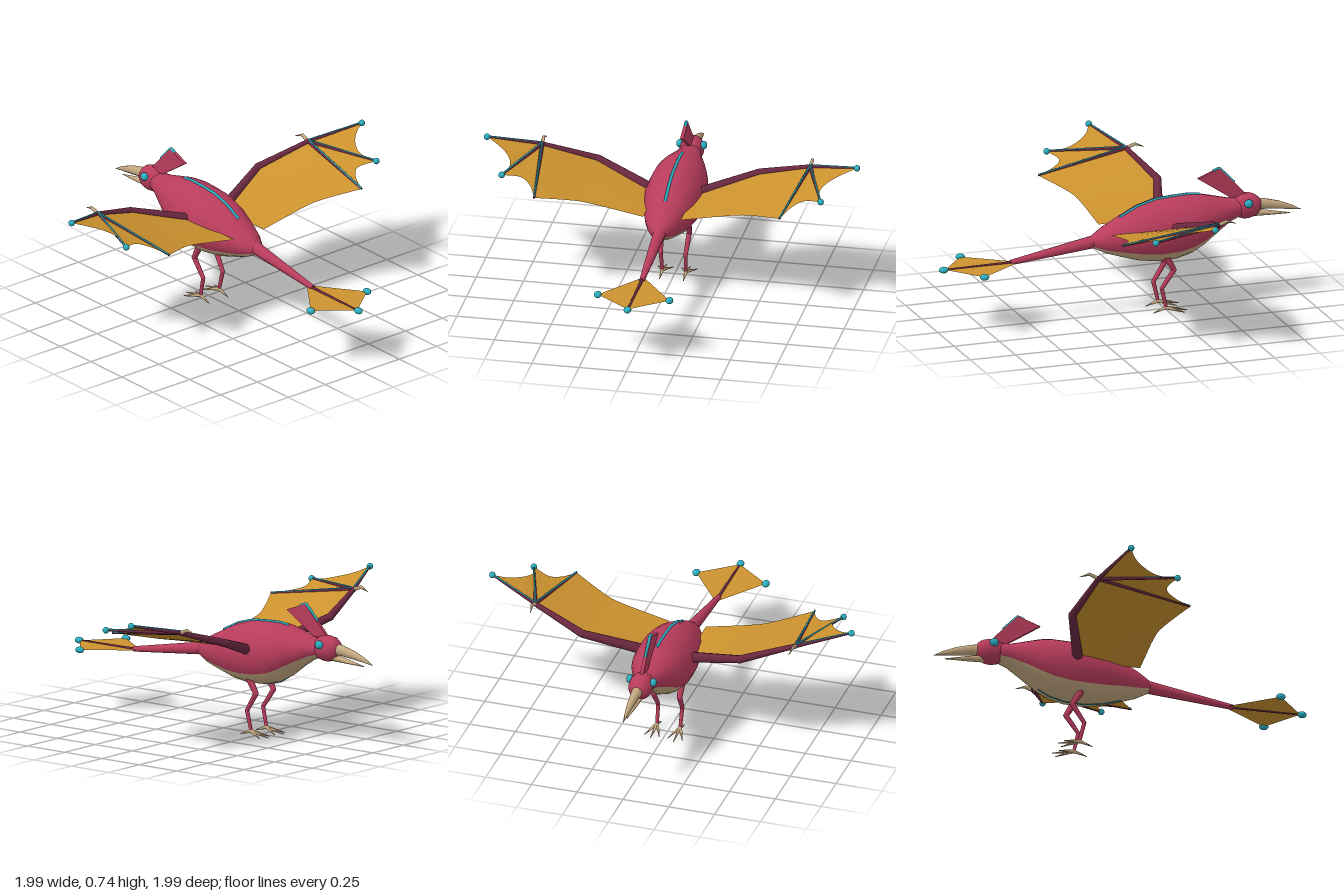
import * as THREE from 'three';

const mat = (name, color, side = THREE.FrontSide) => {
  const m = new THREE.MeshStandardMaterial({ color, side });
  m.name = name;
  return m;
};
const V = (p) => new THREE.Vector3(...p);

export function createModel() {
  const crimson = mat('crimson', 0xb83c5c);
  const maroon = mat('maroon', 0x6a2840);
  const tan = mat('tan', 0xc4a880);
  const teal = mat('teal', 0x2cb0c2);
  const amber = mat('amber', 0xcc922e, THREE.DoubleSide);

  const root = new THREE.Group();
  root.name = 'wingedCreature';

  const add = (name, geo, material, parent = root) => {
    const m = new THREE.Mesh(geo, material);
    m.name = name;
    parent.add(m);
    return m;
  };
  // Tapered round bar between two points
  const rod = (name, a, b, r0, r1, material, parent = root, sides = 10) => {
    const A = V(a), B = V(b), d = B.clone().sub(A);
    const m = add(name, new THREE.CylinderGeometry(r1, r0, d.length(), sides), material, parent);
    m.position.copy(A).add(B).multiplyScalar(0.5);
    m.quaternion.setFromUnitVectors(new THREE.Vector3(0, 1, 0), d.normalize());
    return m;
  };
  const ball = (name, p, r, material, parent = root, scale = [1, 1, 1]) => {
    const m = add(name, new THREE.SphereGeometry(r, 14, 10), material, parent);
    m.position.set(...p);
    m.scale.set(...scale);
    return m;
  };
  // Thin tube through points
  const stripe = (name, pts, r, parent = root) =>
    add(name, new THREE.TubeGeometry(
      new THREE.CatmullRomCurve3(pts.map(V), false, 'catmullrom', 0), 40, r, 6), teal, parent);

  // Elliptical skin over rings [z, y, rx, ry] from rear to front; the lower faces get group 1
  const loft = (rings, seg = 20) => {
    const pos = [], upper = [], lower = [];
    for (const [z, y, rx, ry] of rings)
      for (let k = 0; k < seg; k++) {
        const a = (k / seg) * Math.PI * 2;
        pos.push(Math.cos(a) * rx, y + Math.sin(a) * ry, z);
      }
    for (let i = 0; i < rings.length - 1; i++)
      for (let k = 0; k < seg; k++) {
        const a = i * seg + k, b = i * seg + (k + 1) % seg, c = a + seg, d = b + seg;
        const isLow = k >= seg * 0.6 && k < seg * 0.9;
        (isLow ? lower : upper).push(a, c, b, b, c, d);
      }
    const g = new THREE.BufferGeometry();
    g.setAttribute('position', new THREE.Float32BufferAttribute(pos, 3));
    g.setIndex([...upper, ...lower]);
    g.addGroup(0, upper.length, 0);
    g.addGroup(upper.length, lower.length, 1);
    g.computeVertexNormals();
    return g;
  };

  // Body with pale belly
  const bodyRings = [
    [0.16, 0.407, 0.005, 0.005], [0.15, 0.408, 0.036, 0.033], [0.08, 0.412, 0.078, 0.072],
    [0, 0.42, 0.108, 0.105], [-0.1, 0.43, 0.137, 0.145], [-0.2, 0.437, 0.153, 0.166],
    [-0.3, 0.443, 0.156, 0.167], [-0.38, 0.455, 0.148, 0.158], [-0.44, 0.468, 0.137, 0.138],
    [-0.52, 0.488, 0.108, 0.098], [-0.6, 0.505, 0.074, 0.062], [-0.66, 0.515, 0.055, 0.05],
  ];
  add('body', loft(bodyRings), [crimson, tan]);
  const ridge = bodyRings.slice(2, 9);
  stripe('backStripe', ridge.slice(1).map(([z, y, , ry]) => [0, y + ry, z]), 0.008);
  stripe('keelStripe', ridge.slice(1).map(([z, y, , ry]) => [0, y - ry + 0.002, z]), 0.005);

  // Head, eyes and beak
  ball('head', [0, 0.518, -0.695], 0.07, crimson, root, [0.93, 0.98, 1.25]);
  for (const s of [1, -1]) ball('eye', [s * 0.064, 0.545, -0.69], 0.022, teal, root, [0.8, 1, 1.05]);
  const beak = (rings) => loft(rings, 10);
  add('upperBeak', beak([[-0.74, 0.52, 0.032, 0.034], [-0.8, 0.517, 0.025, 0.028],
    [-0.88, 0.502, 0.018, 0.022], [-0.95, 0.483, 0.009, 0.012], [-1, 0.465, 0.001, 0.001]]), [tan, tan]);
  add('lowerBeak', beak([[-0.73, 0.476, 0.025, 0.02], [-0.82, 0.466, 0.018, 0.013],
    [-0.94, 0.452, 0.002, 0.002]]), [tan, tan]);

  // Head crest: side outline drawn in (z, y), given thickness across x
  const crestShape = new THREE.Shape([[0.43, 0.69], [0.61, 0.57], [0.7, 0.575], [0.67, 0.61], [0.55, 0.735]]
    .map(([z, y]) => new THREE.Vector2(z, y)));
  const crestGeo = new THREE.ExtrudeGeometry(crestShape, { depth: 0.018, bevelEnabled: false });
  crestGeo.rotateY(Math.PI / 2).translate(-0.009, 0, 0);
  add('crest', crestGeo, crimson);
  stripe('crestEdge', [[0, 0.69, -0.595], [0, 0.735, -0.55], [0, 0.722, -0.515]], 0.008);
  stripe('crestFrontEdge', [[0, 0.652, -0.632], [0, 0.69, -0.595]], 0.007);

  // Tail with a flat kite vane
  rod('tail', [0, 0.408, 0.14], [0, 0.342, 0.6], 0.034, 0.014, crimson, root, 12);
  rod('vaneSpine', [0, 0.342, 0.58], [0, 0.34, 0.96], 0.008, 0.005, maroon);
  const vane = new THREE.ShapeGeometry(new THREE.Shape([[0, -0.55], [-0.19, -0.81], [0, -0.96], [0.19, -0.81]]
    .map(([x, y]) => new THREE.Vector2(x, y))));
  vane.rotateX(-Math.PI / 2).translate(0, 0.34, 0);
  add('tailVane', vane, amber);
  for (const [x, z] of [[0.19, 0.81], [-0.19, 0.81], [0, 0.968]])
    ball('vaneTip', [x, 0.34, z], 0.02, teal, root, [1, 0.85, 1.25]);

  // Sheet stretched between two rows of equal length
  const sheet = (lead, trail, steps = 4) => {
    const pos = [], idx = [], n = lead.length;
    for (let j = 0; j <= steps; j++)
      lead.forEach((p, i) => pos.push(...V(p).lerp(V(trail[i]), j / steps).toArray()));
    for (let j = 0; j < steps; j++)
      for (let i = 0; i < n - 1; i++) {
        const a = j * n + i;
        idx.push(a, a + n, a + 1, a + 1, a + n, a + n + 1);
      }
    const g = new THREE.BufferGeometry();
    g.setAttribute('position', new THREE.Float32BufferAttribute(pos, 3));
    g.setIndex(idx);
    g.computeVertexNormals();
    return g;
  };
  const samples = (pts, type, n = 12) =>
    new THREE.CatmullRomCurve3(pts.map(V), false, 'catmullrom', type).getPoints(n).map((p) => p.toArray());

  // Wings and legs, mirrored left and right
  for (const s of [1, -1]) {
    const side = s > 0 ? 'left' : 'right';
    const P = (x, y, z) => [s * x, y, z];
    const wing = new THREE.Group();
    wing.name = side + 'Wing';
    root.add(wing);

    const shoulder = P(0.1, 0.465, -0.25), elbow = P(0.43, 0.57, -0.362), wrist = P(0.71, 0.66, -0.29);
    const tip1 = P(0.98, 0.725, -0.18), tip2 = P(0.845, 0.645, 0.1), tip3 = P(0.65, 0.583, 0.215);

    rod('upperArm', shoulder, elbow, 0.029, 0.021, maroon, wing);
    ball('elbow', elbow, 0.021, maroon, wing);
    rod('forearm', elbow, wrist, 0.021, 0.013, maroon, wing);
    ball('wrist', wrist, 0.014, maroon, wing);
    for (const tip of [tip1, tip2, tip3]) {
      rod('finger', wrist, tip, 0.011, 0.005, maroon, wing, 8);
      const up = ([x, y, z], d) => [x, y + d, z];
      stripe('fingerStripe', [up(wrist, 0.01), up(tip, 0.004)], 0.0045, wing);
    }
    ball('fingerTip', tip1, 0.017, teal, wing);
    ball('fingerTip', tip2, 0.017, teal, wing);

    // Wrist claw
    rod('clawBase', wrist, P(0.713, 0.68, -0.34), 0.011, 0.008, tan, wing, 8);
    rod('clawPoint', P(0.713, 0.68, -0.335), P(0.705, 0.66, -0.39), 0.008, 0.001, tan, wing, 8);

    // Membrane panels with scalloped trailing edges
    add('innerMembrane', sheet(samples([shoulder, elbow, wrist], 0),
      samples([P(0.1, 0.465, 0.08), P(0.37, 0.52, 0.092), P(0.48, 0.545, 0.125), tip3], 0.5)), amber, wing);
    const fan = Array(13).fill(wrist);
    add('middleMembrane', sheet(fan,
      samples([tip3, P(0.69, 0.605, 0.12), P(0.75, 0.625, 0.065), tip2], 0.5)), amber, wing);
    add('outerMembrane', sheet(fan,
      samples([tip2, P(0.82, 0.66, 0.005), P(0.85, 0.68, -0.075), P(0.91, 0.7, -0.14), tip1], 0.5)), amber, wing);

    // Leg, with three front toes and one behind
    const leg = new THREE.Group();
    leg.name = side + 'Leg';
    root.add(leg);
    const hip = P(0.075, 0.32, -0.225), knee = P(0.072, 0.232, -0.275);
    const ankle = P(0.066, 0.135, -0.21), foot = P(0.063, 0.028, -0.235);
    rod('thigh', hip, knee, 0.02, 0.014, crimson, leg);
    ball('knee', knee, 0.014, crimson, leg);
    rod('shin', knee, ankle, 0.014, 0.011, crimson, leg);
    ball('ankle', ankle, 0.011, crimson, leg);
    rod('lowerLeg', ankle, foot, 0.011, 0.009, crimson, leg);
    ball('foot', foot, 0.011, tan, leg);
    for (const [x, z] of [[0.022, -0.325], [0.063, -0.35], [0.104, -0.325], [0.063, -0.165]])
      rod('toe', foot, P(x, 0.005, z), 0.01, 0.002, tan, leg, 8);
  }
  return root;
}
